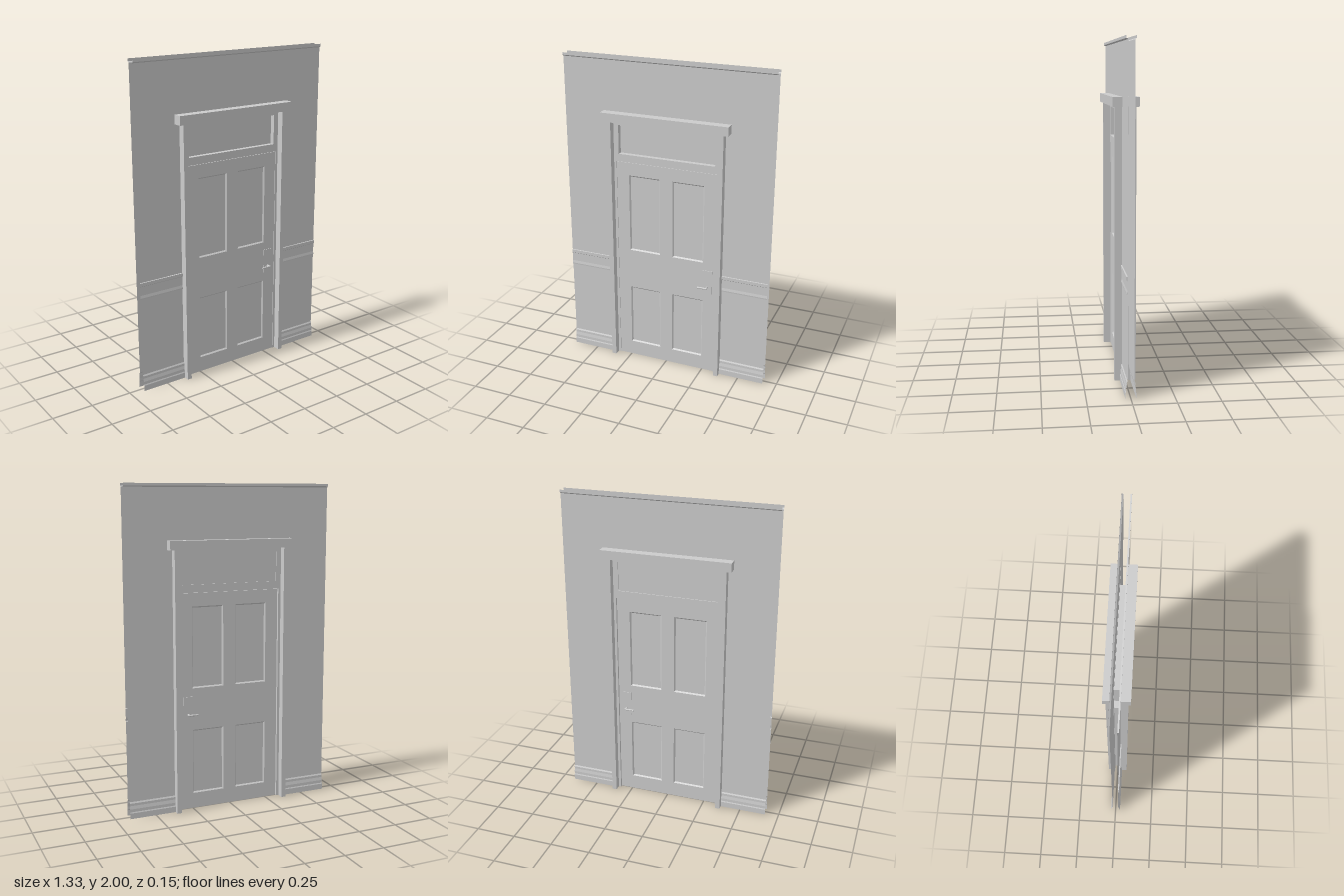
import * as THREE from 'three';

const grey = new THREE.MeshStandardMaterial({ color: 0xcccccc, flatShading: true });
const thin = new THREE.MeshStandardMaterial({ color: 0xcccccc, flatShading: true, side: THREE.DoubleSide });

function add(parent, name, geometry, material = grey) {
  const mesh = new THREE.Mesh(geometry, material);
  mesh.name = name;
  parent.add(mesh);
  return mesh;
}

// box given by its limits on each axis
function box(parent, name, x0, x1, y0, y1, z0, z1) {
  const mesh = add(parent, name, new THREE.BoxGeometry(x1 - x0, y1 - y0, z1 - z0));
  mesh.position.set((x0 + x1) / 2, (y0 + y1) / 2, (z0 + z1) / 2);
  return mesh;
}

function rect(Type, [x0, x1, y0, y1]) {
  const r = new Type();
  r.moveTo(x0, y0).lineTo(x1, y0).lineTo(x1, y1).lineTo(x0, y1).closePath();
  return r;
}

// rectangular slab with rectangular holes
function slab(outer, holes, z0, z1) {
  const shape = rect(THREE.Shape, outer);
  shape.holes = holes.map(h => rect(THREE.Path, h));
  const g = new THREE.ExtrudeGeometry(shape, { depth: z1 - z0, bevelEnabled: false });
  return g.translate(0, 0, z0);
}

// ribbon: rows of equal length joined by quads
function loft(rows) {
  const pos = [];
  for (let i = 0; i < rows.length - 1; i++) {
    for (let j = 0; j < rows[i].length - 1; j++) {
      const a = rows[i][j], b = rows[i][j + 1], c = rows[i + 1][j + 1], d = rows[i + 1][j];
      pos.push(...a, ...b, ...c, ...a, ...c, ...d);
    }
  }
  const g = new THREE.BufferGeometry();
  g.setAttribute('position', new THREE.Float32BufferAttribute(pos, 3));
  g.computeVertexNormals();
  return g;
}

// wall sheet whose profile of [y, projection] runs from x0 to x1
function wallSheet(parent, name, profile, x0, x1, side) {
  const rows = profile.map(([y, out]) => {
    const z = side * (0.019 + out);
    return side > 0 ? [[x0, y, z], [x1, y, z]] : [[x1, y, z], [x0, y, z]];
  });
  add(parent, name, loft(rows), thin);
}

// sloped moulding from the door face down to a sunken panel
function moulding([x0, x1, y0, y1], z0, z1, inset) {
  const loop = (d, z) => [
    [x0 + d, y0 + d, z], [x1 - d, y0 + d, z], [x1 - d, y1 - d, z], [x0 + d, y1 - d, z], [x0 + d, y0 + d, z]
  ];
  const rows = [loop(0, z0), loop(inset, z1)];
  return loft(z0 > z1 ? rows : rows.reverse());
}

export function createModel() {
  const model = new THREE.Group();
  model.name = 'doorway';

  // wall profiles: skirting, dado rail (front only), crown strip
  const skirting = [[0, 0.012], [0.035, 0.012], [0.042, 0.009], [0.06, 0.009], [0.08, 0.005], [0.095, 0.005], [0.104, 0]];
  const dado = [[0.595, 0], [0.597, 0.004], [0.605, 0.005], [0.622, 0.002], [0.677, 0.002], [0.681, 0.007], [0.701, 0.007], [0.702, 0]];
  const crown = [[1.978, 0], [1.985, 0.009], [2, 0.009]];

  for (const side of [1, -1]) {
    const wall = new THREE.Group();
    wall.name = side > 0 ? 'frontWall' : 'backWall';
    model.add(wall);
    const profile = [...skirting, ...(side > 0 ? dado : []), ...crown];
    wallSheet(wall, 'wallLeft', profile, 0.355, 0.665, side);
    wallSheet(wall, 'wallRight', profile, -0.665, -0.355, side);
    wallSheet(wall, 'wallAbove', [[1.615, 0], ...crown], -0.355, 0.355, side);

    // architrave posts and header
    const z = (a, b) => side > 0 ? [a, b] : [-b, -a];
    for (const s of [1, -1]) {
      const xs = s > 0 ? [0.344, 0.373] : [-0.373, -0.344];
      box(wall, 'architrave', ...xs, 0, 1.616, ...z(0.018, 0.063));
    }
    box(wall, 'header', -0.405, 0.405, 1.615, 1.67, ...z(0.018, 0.077));

    // face of the transom frame
    const face = rect(THREE.Shape, [-0.345, 0.345, 1.37, 1.615]);
    face.holes = [rect(THREE.Path, [-0.312, 0.312, 1.405, 1.588])];
    add(wall, 'transomFace', new THREE.ShapeGeometry(face), thin).position.z = side * 0.02;
  }

  // transom opening and pane
  add(model, 'transomReveal', slab([-0.314, 0.314, 1.403, 1.59], [[-0.312, 0.312, 1.405, 1.588]], -0.02, 0.02));
  box(model, 'transomPane', -0.312, 0.312, 1.405, 1.588, -0.014, -0.01);

  // door lining
  for (const s of [1, -1]) box(model, 'lining', s * 0.3365 - 0.0085, s * 0.3365 + 0.0085, 0, 1.357, -0.02, 0.02);
  box(model, 'lintel', -0.345, 0.345, 1.357, 1.37, -0.02, 0.02);

  // four-panel door
  const door = new THREE.Group();
  door.name = 'door';
  model.add(door);
  const back = -0.006, front = 0.016;
  const panels = [];
  for (const [x0, x1] of [[-0.247, -0.041], [0.041, 0.247]]) {
    for (const [y0, y1] of [[0.097, 0.505], [0.768, 1.272]]) panels.push([x0, x1, y0, y1]);
  }
  add(door, 'doorFrame', slab([-0.328, 0.328, 0, 1.354], panels, back, front));
  for (const p of panels) {
    box(door, 'doorPanel', ...p, 0.002, 0.008);
    add(door, 'panelMoulding', moulding(p, front, 0.008, 0.008));
    add(door, 'panelMoulding', moulding(p, back, 0.002, 0.008));
  }

  // lock plates with lever handles on both faces
  for (const side of [1, -1]) {
    const handle = new THREE.Group();
    handle.name = side > 0 ? 'frontHandle' : 'backHandle';
    handle.position.set(0.277, 0.605, side > 0 ? front : back);
    door.add(handle);
    box(handle, 'lockPlate', -0.031, 0.031, -0.045, 0.112, side > 0 ? 0 : -0.004, side > 0 ? 0.004 : 0);
    const spindle = add(handle, 'spindle', new THREE.CylinderGeometry(0.006, 0.006, 0.03, 10));
    spindle.rotation.x = Math.PI / 2;
    spindle.position.z = side * 0.015;
    const lever = add(handle, 'lever', new THREE.CylinderGeometry(0.005, 0.006, 0.062, 10));
    lever.rotation.z = Math.PI / 2;
    lever.position.set(-0.026, 0, side * 0.028);
  }
  return model;
}
